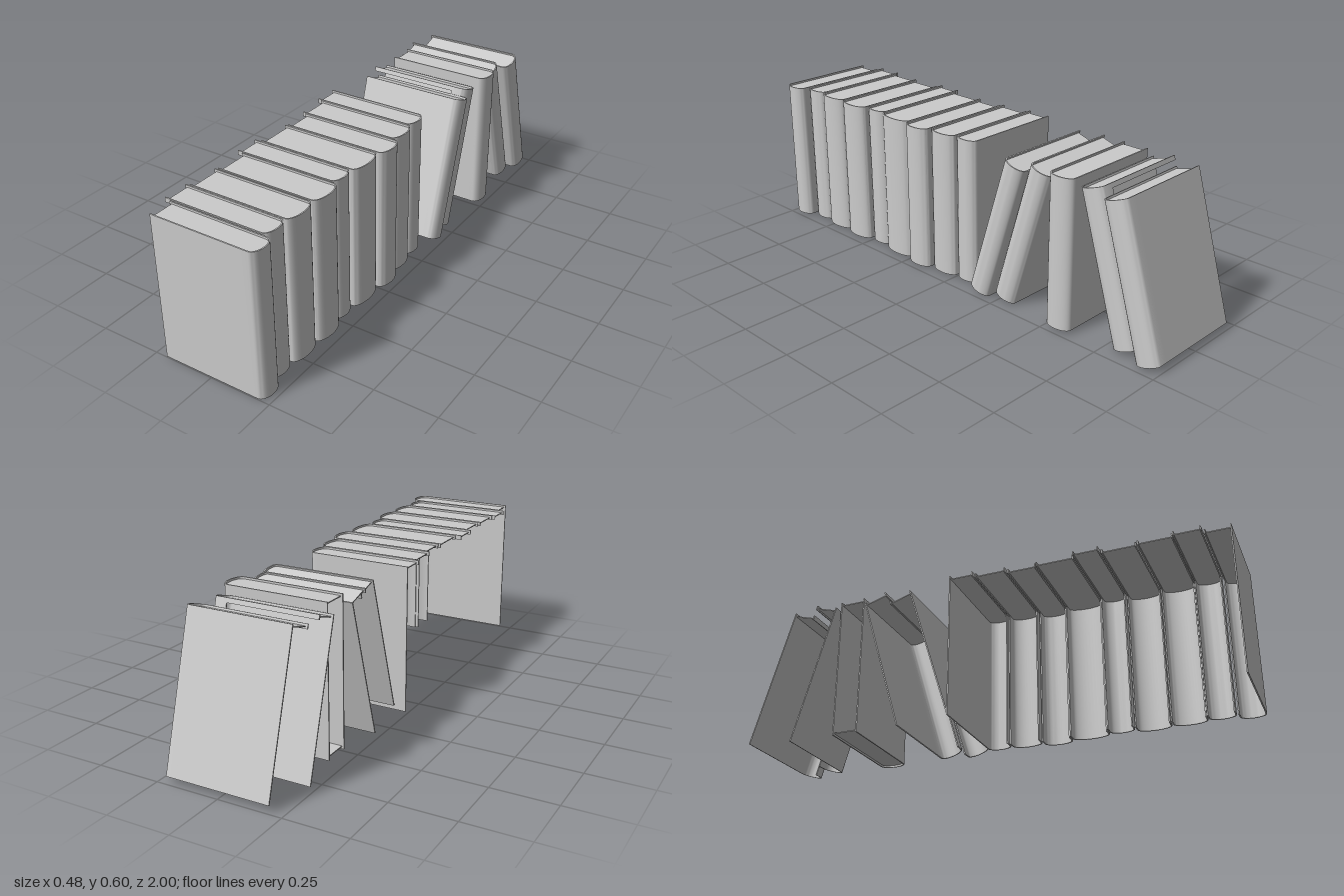
import * as THREE from 'three';
import { toCreasedNormals } from 'three/addons/utils/BufferGeometryUtils.js';

const material = new THREE.MeshStandardMaterial({ color: 0xcccccc, side: THREE.DoubleSide });
const T = 0.005; // cover thickness
const BULGE = 0.03; // depth of the rounded spine

// Half-ellipse spine outline in plan, running from one board to the other
function arc(x, depth, half) {
  const points = [];
  for (let i = 0; i <= 16; i++) {
    const t = -Math.PI / 2 + (Math.PI * i) / 16;
    points.push(new THREE.Vector2(x + depth * Math.cos(t), half * Math.sin(t)));
  }
  return points;
}

// Extrudes a plan outline upward, centred on y
function upright(points, height, name) {
  const geo = new THREE.ExtrudeGeometry(new THREE.Shape(points), { depth: height, bevelEnabled: false });
  geo.translate(0, 0, -height / 2).rotateX(-Math.PI / 2);
  const mesh = new THREE.Mesh(toCreasedNormals(geo, 0.6), material);
  mesh.name = name;
  return mesh;
}

function board(x0, x1, y0, y1, z, name) {
  const mesh = new THREE.Mesh(new THREE.BoxGeometry(x1 - x0, y1 - y0, T), material);
  mesh.position.set((x0 + x1) / 2, (y0 + y1) / 2, z);
  mesh.name = name;
  return mesh;
}

// One book: a hollow cover with its spine on +x and page surfaces at the ends.
// front / back: whether that board is full height or only a lip along the top.
function makeBook({ x0, x1, w, h, front = false, back = false, bottom = false }) {
  const book = new THREE.Group();
  book.name = 'book';
  const xs = x1 - BULGE, half = w / 2, flange = xs - 0.035;

  // Spine with short flanges where the boards join
  const outer = arc(xs, BULGE, half);
  const inner = arc(xs, BULGE - T, half - T).reverse();
  book.add(upright([
    new THREE.Vector2(flange, -half), ...outer, new THREE.Vector2(flange, half),
    new THREE.Vector2(flange, half - T), ...inner, new THREE.Vector2(flange, -half + T),
  ], h, 'spine'));

  // Cover boards
  for (const [full, side, name] of [[front, 1, 'frontCover'], [back, -1, 'backCover']]) {
    const y0 = full ? -h / 2 : h / 2 - 0.018;
    book.add(board(x0, full ? xs : flange, y0, h / 2, side * (half - T / 2), name));
  }

  // Page surfaces, set slightly inside the cover
  const ends = bottom ? [1, -1] : [1];
  for (const end of ends) {
    const pages = upright([
      new THREE.Vector2(x0 + 0.008, -half + T), ...arc(xs, BULGE - T, half - T),
      new THREE.Vector2(x0 + 0.008, half - T),
    ], 0.004, end > 0 ? 'pagesTop' : 'pagesBottom');
    pages.position.y = end * (h / 2 - 0.01);
    book.add(pages);
  }
  return book;
}

export function createModel() {
  const model = new THREE.Group();
  model.name = 'bookRow';

  // Tightly packed upright books: [z front, z back, x fore-edge, x spine]
  const row = [
    [1.0, 0.9, -0.2, 0.232], [0.895, 0.79, -0.23, 0.2], [0.787, 0.653, -0.217, 0.212],
    [0.648, 0.512, -0.21, 0.217], [0.508, 0.407, -0.235, 0.195], [0.403, 0.252, -0.212, 0.212],
    [0.248, 0.132, -0.205, 0.225], [0.128, 0.003, -0.222, 0.203], [0, -0.1, -0.24, 0.19],
  ];
  row.forEach(([zf, zb, x0, x1], i) => {
    const book = makeBook({ x0, x1, w: zf - zb, h: 0.587, front: i === 0, back: i === row.length - 1 });
    book.position.set(0, 0.2985, (zf + zb) / 2);
    book.name = 'uprightBook' + (i + 1);
    model.add(book);
  });

  // Leaning pairs on either side of a free-standing book
  const loose = [
    { z: -0.25, tilt: -0.305, x0: -0.2, x1: 0.235, w: 0.098, front: true },
    { z: -0.355, tilt: -0.29, x0: -0.222, x1: 0.21, w: 0.098, back: true },
    { z: -0.557, tilt: 0, x0: -0.197, x1: 0.238, w: 0.108, front: true, back: true, bottom: true },
    { z: -0.745, tilt: 0.29, x0: -0.226, x1: 0.203, w: 0.098, front: true },
    { z: -0.865, tilt: 0.29, x0: -0.2, x1: 0.232, w: 0.1, back: true },
  ];
  loose.forEach(({ z, tilt, ...spec }) => {
    const book = makeBook({ h: 0.586, ...spec });
    book.position.set(0, tilt ? 0.296 : 0.306, z);
    book.rotation.x = tilt;
    book.name = tilt ? 'leaningBook' : 'standingBook';
    model.add(book);
  });
  return model;
}
